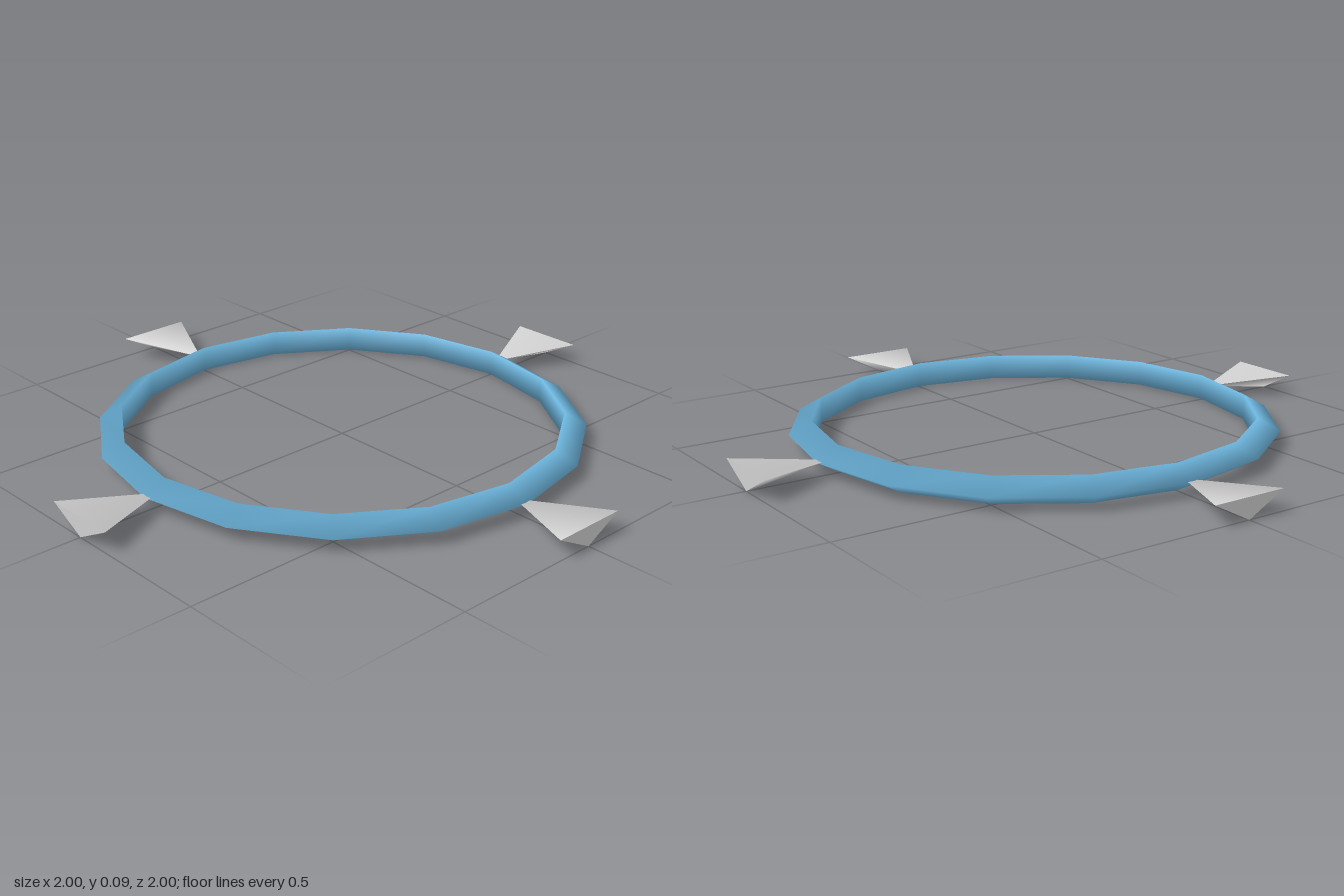
import * as THREE from 'three';

export function createModel() {
  const blue = new THREE.MeshStandardMaterial({ color: 0x6cb4dc });
  blue.name = 'ringBlue';
  const grey = new THREE.MeshStandardMaterial({ color: 0xd0d0d0 });
  grey.name = 'bladeGrey';

  const centreY = 0.044;
  const ringRadius = 0.728;
  const model = new THREE.Group();
  model.name = 'bladedRing';

  // Sixteen-sided ring with a triangular section pointing outwards
  const ring = new THREE.Mesh(new THREE.TorusGeometry(ringRadius, 0.048, 3, 16), blue);
  ring.name = 'ring';
  ring.rotation.x = -Math.PI / 2;
  ring.position.y = centreY;
  model.add(ring);

  // Flattened three-sided cone: tip inside the ring, wide end out, ridge below
  const length = 1 - ringRadius;
  const bladeGeometry = new THREE.ConeGeometry(0.044, length, 3)
    .rotateY(Math.PI)
    .rotateX(-Math.PI / 2)
    .scale(0.125 / (0.044 * Math.sin(Math.PI / 3)), 1, 1)
    .translate(0, centreY, 1 - length / 2);

  // Four blades, a quarter turn apart
  ['front', 'left', 'back', 'right'].forEach((side, i) => {
    const blade = new THREE.Mesh(bladeGeometry, grey);
    blade.name = side + 'Blade';
    blade.rotation.y = i * Math.PI / 2;
    model.add(blade);
  });

  return model;
}
